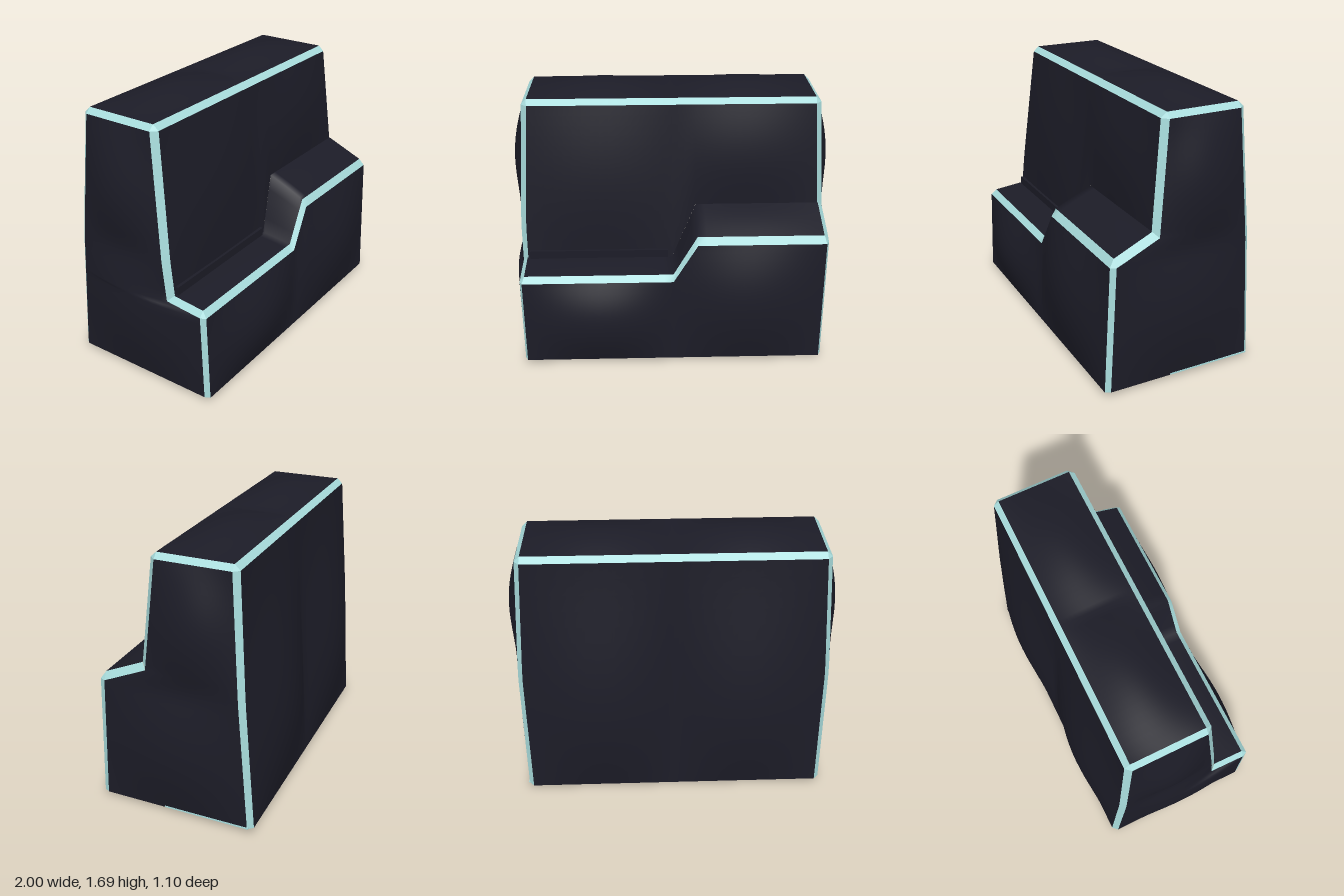
import * as THREE from 'three';
import { mergeGeometries } from 'three/addons/utils/BufferGeometryUtils.js';

const { lerp, clamp } = THREE.MathUtils;
const BEVEL = 0.032;
const TOP = 1.638;
const BEVELLED = [2, 4, 5]; // profile corners cut by a bevel across the width
const SIDE_INSET = [0, 0.016, 0.03, 0.035, 0.03, 0.03]; // how far each face stops short of the ends

const range = (a, b, n) => Array.from({ length: n + 1 }, (_, i) => lerp(a, b, i / n));
const swell = t => Math.abs(Math.sin(Math.PI * t));
const acrossSteps = [...range(-1, 0, 16), ...range(0.04, 0.16, 3), ...range(0.22, 1, 13)];

// Half width of the body at a given height
const halfWidth = y => y < 0.85 ? lerp(0.945, 0.95, (y - 0.03) / 0.82) : lerp(0.95, 0.905, (y - 0.85) / (TOP - 0.85));

// Cross-section [y, z] at u (-1..1 across the width); the front ledge steps up just past the middle
function profile(u) {
  const k = clamp(u / 0.16, 0, 1);
  return [
    [0.03, -0.495], [0.03, 0.495],
    [lerp(0.61, 0.855, k), lerp(0.475, 0.465, k)],
    [lerp(0.635, 0.975, k), lerp(0.24, 0.195, k)],
    [TOP, 0.13], [TOP, -0.39],
  ];
}

// Grid surface facing du x dv
function grid(us, vs, fn) {
  const pos = [], idx = [], n = vs.length;
  us.forEach(u => vs.forEach(v => pos.push(...fn(u, v))));
  for (let i = 0; i < us.length - 1; i++) {
    for (let j = 0; j < n - 1; j++) {
      const a = i * n + j, b = a + n;
      idx.push(a, b, b + 1, a, b + 1, a + 1);
    }
  }
  const g = new THREE.BufferGeometry();
  g.setAttribute('position', new THREE.Float32BufferAttribute(pos, 3));
  g.setIndex(idx);
  g.computeVertexNormals();
  return g;
}

const mix = (a, b, t) => a.map((n, i) => lerp(n, b[i], t));

// Point on the face between profile corners i and i + 1
function facePoint(i, u, v, amount = 0, skew = 1) {
  const p = profile(u), j = (i + 1) % 6, a = p[i], b = p[j];
  const dy = b[0] - a[0], dz = b[1] - a[1], len = Math.hypot(dy, dz);
  const start = BEVELLED.includes(i) ? BEVEL / len : 0;
  const end = BEVELLED.includes(j) ? 1 - BEVEL / len : 1;
  const t = lerp(start, end, v);
  const bulge = amount * swell(u) * swell(Math.pow(v, skew));
  const y = lerp(a[0], b[0], t), z = lerp(a[1], b[1], t);
  return [u * (halfWidth(y) - SIDE_INSET[i]), y - dz / len * bulge, z + dy / len * bulge];
}

// Outline corners [y, z] of an end wall, drawn in from the profile by the bevel
function endOutline(side) {
  return profile(side).map(([y, z], i) => [i > 1 ? y - BEVEL : y, i % 5 === 0 ? z + BEVEL : z - BEVEL]);
}

// End wall: rows of height from back to front, with a lower and an upper swell
function endPanel(side) {
  const q = endOutline(side), ys = [];
  for (let i = 1; i < 4; i++) ys.push(...range(q[i][0], q[i + 1][0], i === 2 ? 2 : 14).slice(i > 1 ? 1 : 0));
  const at = (y, t) => {
    let i = 1;
    while (i < 3 && y > q[i + 1][0]) i++;
    const front = lerp(q[i][1], q[i + 1][1], (y - q[i][0]) / (q[i + 1][0] - q[i][0]));
    const back = lerp(q[0][1], q[5][1], (y - q[0][0]) / (q[5][0] - q[0][0]));
    const bulge = y < 0.85 ? 0.052 * swell((y - 0.03) / 0.82) : 0.068 * swell((y - 0.85) / (q[4][0] - 0.85));
    return [side * (halfWidth(y) + bulge * swell(t)), y, lerp(back, front, t)];
  };
  const ts = range(0, 1, 14);
  return side > 0 ? grid(ys, ts, at) : grid(ts, ys, (t, y) => at(y, t));
}

// Bevel strips around an end, from the front foot over the top to the back foot
function endBevel(side) {
  const q = endOutline(side), parts = [];
  const rim = (i, t) => {
    const [y, z] = mix(q[i], q[(i + 1) % 6], t);
    return [side * halfWidth(y), y, z];
  };
  const order = side > 0 ? [0, 1] : [1, 0];
  for (let i = 1; i < 6; i++) {
    parts.push(grid(order, range(0, 1, 16), (s, t) => mix(facePoint(i, side, t), rim(i, t), s)));
    if (BEVELLED.includes(i)) {
      parts.push(grid(order, [0, 1], (s, t) =>
        mix(mix(facePoint(i - 1, side, 1), facePoint(i, side, 0), t), rim(i, 0), s)));
    }
  }
  return mergeGeometries(parts);
}

export function createModel() {
  const dark = new THREE.MeshStandardMaterial({ color: 0x1c1c27 });
  dark.name = 'charcoal';
  const teal = new THREE.MeshStandardMaterial({ color: 0xa8dcdc });
  teal.name = 'pale teal';
  const model = new THREE.Group();
  model.name = 'steppedBlock';
  const add = (name, geometry, material) => {
    const mesh = new THREE.Mesh(geometry, material);
    mesh.name = name;
    model.add(mesh);
    return mesh;
  };

  // Swollen body faces: profile corner, swell, skew
  const faces = {
    bottom: [0, 0.028], lowerFront: [1, 0.07], ledge: [2, 0.006],
    upperFront: [3, 0.03], top: [4, 0.055], back: [5, 0.085, 1.4],
  };
  for (const [name, [i, amount, skew]] of Object.entries(faces)) {
    add(name, grid(acrossSteps, range(0, 1, 16), (u, v) => facePoint(i, u, v, amount, skew)), dark);
  }
  add('leftEnd', endPanel(1), dark);
  add('rightEnd', endPanel(-1), dark);

  // Low bar where the sunken ledge meets the wall
  add('ledgeBar', new THREE.BoxGeometry(0.87, 0.07, 0.05), dark).position.set(-0.465, 0.65, 0.23);

  // Pale bevels across the width
  const across = { ledgeBevel: 2, topFrontBevel: 4, topBackBevel: 5 };
  for (const [name, i] of Object.entries(across)) {
    add(name, grid(acrossSteps, [0, 1], (u, v) => mix(facePoint(i - 1, u, 1), facePoint(i, u, 0), v)), teal);
  }

  // Pale bevels around both ends, and a thin line along the left foot
  add('leftEndBevel', endBevel(1), teal);
  add('rightEndBevel', endBevel(-1), teal);
  add('leftFootLine', new THREE.BoxGeometry(0.008, 0.01, 0.54), teal).position.set(0.945, 0.037, -0.2);
  return model;
}
